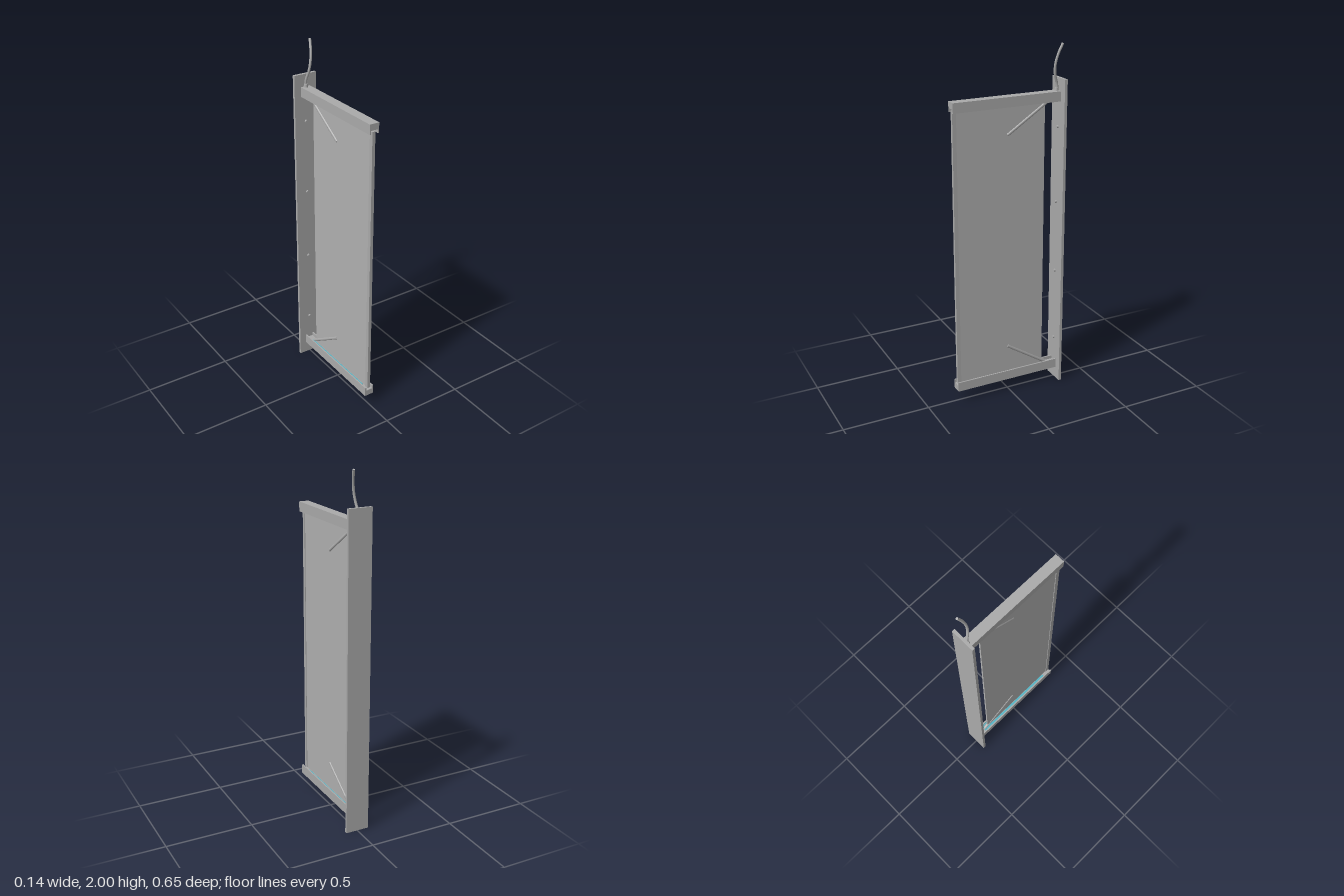
import * as THREE from 'three';

export function createModel() {
  const model = new THREE.Group();
  const metal = new THREE.MeshStandardMaterial({ color: 0xaaaaaa });
  metal.name = 'brushed metal grey';
  const pane = new THREE.MeshStandardMaterial({ color: 0xb0b0b0 });
  pane.name = 'panel grey';
  const teal = new THREE.MeshStandardMaterial({ color: 0x4fb3c4 });
  teal.name = 'light strip teal';

  const add = (parent, name, geometry, material, x = 0, y = 0, z = 0) => {
    const mesh = new THREE.Mesh(geometry, material);
    mesh.name = name;
    mesh.position.set(x, y, z);
    parent.add(mesh);
    return mesh;
  };
  const box = (parent, name, w, h, d, material, x, y, z) =>
    add(parent, name, new THREE.BoxGeometry(w, h, d), material, x, y, z);
  // Round rod between two points
  const rod = (name, a, b, radius) => {
    const dir = b.clone().sub(a);
    const mesh = add(model, name, new THREE.CylinderGeometry(radius, radius, dir.length(), 16), metal);
    mesh.position.copy(a).add(b).multiplyScalar(0.5);
    mesh.quaternion.setFromUnitVectors(new THREE.Vector3(0, 1, 0), dir.normalize());
  };

  // Wall plate with its screws
  box(model, 'wallPlate', 0.136, 1.81, 0.016, metal, 0, 0.905, -0.318);
  for (const y of [0.26, 0.69, 1.11, 1.54]) {
    const screw = add(model, 'screw', new THREE.CylinderGeometry(0.008, 0.008, 0.012, 16), metal, 0, y, -0.306);
    screw.rotation.x = Math.PI / 2;
  }

  // Hanging panel and its front edge bar
  box(model, 'panel', 0.01, 1.58, 0.53, pane, 0, 0.905, 0.04);
  box(model, 'frontEdgeBar', 0.018, 1.58, 0.022, metal, 0, 0.905, 0.309);

  // Channel cross-section, open towards the panel
  const profile = new THREE.Shape([
    [-0.028, 0], [0.028, 0], [0.028, 0.055], [0.02, 0.055],
    [0.02, 0.035], [-0.02, 0.035], [-0.02, 0.055], [-0.028, 0.055],
  ].map(([x, y]) => new THREE.Vector2(x, y)));
  const channel = new THREE.ExtrudeGeometry(profile, { depth: 0.635, bevelEnabled: false });

  for (const top of [false, true]) {
    const rail = new THREE.Group();
    rail.name = top ? 'topRail' : 'bottomRail';
    add(rail, 'channel', channel, metal, 0, 0, -0.3175);
    // Light strips on either side of the panel
    for (const side of [-1, 1]) {
      box(rail, 'lightStrip', 0.014, 0.008, 0.52, teal, side * 0.0125, 0.039, 0);
    }
    rail.position.set(0, top ? 1.74 : 0.07, 0.0065);
    if (top) rail.rotation.z = Math.PI;
    model.add(rail);

    // Diagonal brace
    const fromY = top ? 1.53 : 0.275;
    const toY = top ? 1.69 : 0.115;
    rod('brace', new THREE.Vector3(0, fromY, 0), new THREE.Vector3(0, toY, -0.245), 0.01);
  }

  // Supply cable and its socket
  const path = new THREE.CatmullRomCurve3([
    [-0.004, 1.735, -0.304], [-0.002, 1.78, -0.299], [0.006, 1.83, -0.283],
    [0.015, 1.885, -0.279], [0.025, 1.945, -0.291], [0.034, 1.998, -0.312],
  ].map((p) => new THREE.Vector3(...p)));
  add(model, 'cable', new THREE.TubeGeometry(path, 32, 0.007, 12), metal);
  const cap = add(model, 'cableEnd', new THREE.CircleGeometry(0.007, 12), metal);
  cap.position.copy(path.getPoint(1));
  cap.quaternion.setFromUnitVectors(new THREE.Vector3(0, 0, 1), path.getTangent(1));
  add(model, 'cableSocket', new THREE.CylinderGeometry(0.01, 0.012, 0.02, 16), metal, -0.004, 1.748, -0.299);

  return model;
}
